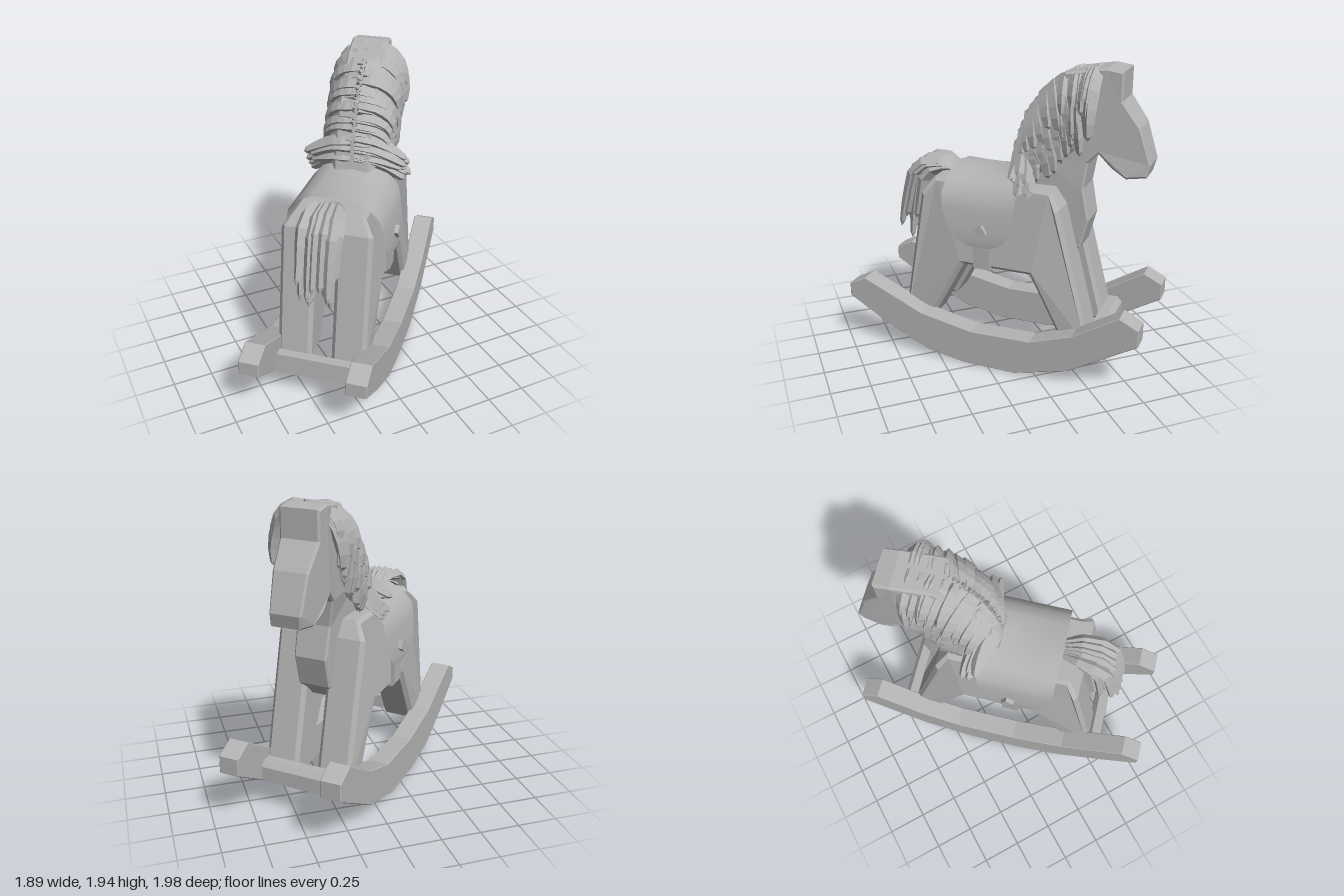
import * as THREE from 'three';

// Local frame: x runs from tail to head, z across the horse; the whole group is then turned.
export function createModel() {
  const model = new THREE.Group();
  const horse = new THREE.Group();
  horse.name = 'rockingHorse';
  horse.rotation.y = 0.838;
  model.add(horse);

  const grey = new THREE.MeshStandardMaterial({ color: 0xb4b4b4, side: THREE.DoubleSide });
  grey.name = 'plain grey';

  let seed = 7;
  const rand = (a, b) => {
    seed = (seed * 16807) % 2147483647;
    return a + (b - a) * (seed / 2147483647);
  };

  function add(geometry, name, parent = horse) {
    const mesh = new THREE.Mesh(geometry, grey);
    mesh.name = name;
    parent.add(mesh);
    return mesh;
  }

  // Flat board cut to a side profile, centred across z, optionally reshaped by a rule
  function board(points, width, bevel, rule) {
    const shape = new THREE.Shape(points.map(([x, y]) => new THREE.Vector2(x, y)));
    const g = new THREE.ExtrudeGeometry(shape, {
      depth: width - 2 * bevel, bevelEnabled: bevel > 0, bevelThickness: bevel,
      bevelSize: bevel, bevelOffset: -bevel, bevelSegments: 1
    });
    g.translate(0, 0, -(width - 2 * bevel) / 2);
    if (rule) {
      const p = g.attributes.position;
      for (let i = 0; i < p.count; i++) p.setZ(i, rule(p.getX(i), p.getY(i), p.getZ(i)));
    }
    g.computeVertexNormals();
    return g;
  }

  // Faceted lock of hair along a curve, with a blunt tapering tip
  const taper = [0.6, 1, 1.05, 1.05, 0.95, 0.8, 0.55, 0];
  function strand(points, radius, name, parent) {
    const curve = new THREE.CatmullRomCurve3(points.map(a => new THREE.Vector3(...a)));
    const n = taper.length - 1;
    const g = new THREE.TubeGeometry(curve, n, radius, 4);
    const p = g.attributes.position, v = new THREE.Vector3();
    for (let i = 0; i < p.count; i++) {
      const ring = Math.floor(i / 5);
      const c = curve.getPointAt(Math.min(ring, n - 0.6) / n);
      const centre = curve.getPointAt(ring / n);
      v.fromBufferAttribute(p, i).sub(centre).multiplyScalar(taper[ring]).add(c);
      p.setXYZ(i, v.x, v.y, v.z);
    }
    const flat = g.toNonIndexed();
    flat.computeVertexNormals();
    add(flat, name, parent);
  }

  // Rockers and the cross bars joining them
  const rockerProfile = [
    [-0.98, 0.34], [-0.72, 0.19], [-0.42, 0.05], [-0.15, 0.005], [0.2, 0.005], [0.55, 0.1], [0.98, 0.36],
    [0.98, 0.47], [0.86, 0.53], [0.57, 0.35], [0.3, 0.255], [-0.1, 0.245], [-0.45, 0.31], [-0.86, 0.49], [-0.98, 0.43]
  ];
  for (const side of [-1, 1]) {
    add(board(rockerProfile, 0.13, 0.005), 'rocker').position.z = 0.33 * side;
  }
  for (const [x, y] of [[-0.66, 0.235], [0.67, 0.265]]) {
    const bar = add(board([[-0.05, -0.065], [0.05, -0.065], [0.05, 0.03], [0.02, 0.065], [-0.04, 0.065]], 0.53, 0), 'crossBar');
    bar.position.set(x, y, 0);
  }

  // Flanks, each carrying a front and a back leg, with a rounded outer shoulder
  const flankProfile = [
    [-0.63, 0.24], [-0.42, 0.24], [-0.2, 0.65], [0.25, 0.65], [0.46, 0.24], [0.65, 0.24],
    [0.43, 1.1], [0.36, 1.2], [-0.41, 1.2], [-0.48, 1.1]
  ];
  for (const side of [-1, 1]) {
    const shoulder = (x, y, z) => (z * side > 0 && y > 1.12 ? z - 0.06 * side : z);
    add(board(flankProfile, 0.22, 0.025, shoulder), 'flankAndLegs').position.z = 0.175 * side;
  }

  // Middle of the body between the flanks
  add(board([[-0.42, 0.75], [-0.3, 0.67], [0.28, 0.67], [0.42, 0.75], [0.4, 1.2], [-0.4, 1.2]], 0.22, 0.02), 'torso');

  // Chest, neck and head; the head leans slightly to one side and narrows at the nose
  const headProfile = [
    [0.3, 0.66], [0.42, 0.71], [0.52, 0.81], [0.57, 1.0], [0.53, 1.2], [0.55, 1.36], [0.61, 1.42], [0.69, 1.34],
    [0.78, 1.285], [0.9, 1.3], [0.92, 1.38], [0.85, 1.6], [0.74, 1.75], [0.74, 1.92], [0.64, 1.935], [0.4, 1.9],
    [0.22, 1.7], [0.14, 1.4], [0.06, 1.2], [0.06, 0.75]
  ];
  add(board(headProfile, 0.24, 0.012, (x, y, z) => {
    const high = THREE.MathUtils.smoothstep(y, 1.1, 1.4);
    const nose = THREE.MathUtils.smoothstep(x, 0.75, 0.92);
    return z * (0.88 + 0.14 * high - 0.2 * nose) - 0.04 * high * THREE.MathUtils.smoothstep(x, 0.3, 0.7);
  }), 'neckAndHead');

  // Saddle blanket draped over the back: rows of [z, y, back x, front x]
  const half = [
    [0, 1.24, -0.33, 0.16], [0.14, 1.232, -0.33, 0.16], [0.22, 1.2, -0.33, 0.16], [0.29, 1.13, -0.33, 0.16],
    [0.31, 1.03, -0.32, 0.15], [0.325, 0.92, -0.28, 0.13], [0.33, 0.85, -0.22, 0.09], [0.325, 0.81, -0.14, 0.01]
  ];
  const rows = [...half.slice(1).reverse().map(([z, ...r]) => [-z, ...r]), ...half];
  const blanket = new THREE.PlaneGeometry(1, 1, 4, rows.length - 1);
  rows.forEach(([z, y, x0, x1], r) => {
    for (let c = 0; c < 5; c++) {
      const v = c / 2 - 1;
      const lift = (v > 0 ? 0.06 : 0.015) * v * v * Math.max(0, 1 - Math.abs(z) / 0.3);
      blanket.attributes.position.setXYZ(r * 5 + c, x0 + (x1 - x0) * c / 4, y + lift, z);
    }
  });
  blanket.computeVertexNormals();
  add(blanket, 'saddleBlanket');

  // Girth strap and buckles
  const girth = new THREE.Group();
  girth.name = 'girth';
  horse.add(girth);
  add(new THREE.BoxGeometry(0.11, 0.02, 0.58), 'bellyStrap', girth).position.set(-0.06, 0.655, 0);
  for (const side of [-1, 1]) {
    add(new THREE.BoxGeometry(0.11, 0.2, 0.025), 'sideStrap', girth).position.set(-0.06, 0.765, 0.295 * side);
    const buckle = add(new THREE.BoxGeometry(0.06, 0.06, 0.03), 'buckle', girth);
    buckle.position.set(-0.05, 0.92, 0.335 * side);
    buckle.rotation.z = 0.6;
  }

  // Mane: a solid core with layered locks draped over both sides
  const mane = new THREE.Group();
  mane.name = 'mane';
  horse.add(mane);
  const maneCore = [
    [0.05, 1.24], [0.1, 1.45], [0.18, 1.65], [0.32, 1.82], [0.45, 1.89], [0.56, 1.9],
    [0.56, 1.6], [0.47, 1.44], [0.34, 1.32], [0.2, 1.22]
  ];
  add(board(maneCore, 0.35, 0.07), 'maneCore', mane);
  const path = points => new THREE.CatmullRomCurve3(points.map(([x, y]) => new THREE.Vector3(x, y, 0)));
  const crest = path([[0.08, 1.32], [0.11, 1.5], [0.2, 1.7], [0.36, 1.86], [0.57, 1.91]]);
  const tips = path([[0.21, 1.15], [0.28, 1.18], [0.4, 1.25], [0.5, 1.36], [0.58, 1.49]]);
  const perLayer = 13;
  for (const side of [-1, 1]) {
    for (let i = 0; i < perLayer * 3; i++) {
      const t = THREE.MathUtils.clamp((i % perLayer) / (perLayer - 1) + rand(-0.03, 0.03), 0, 1);
      const a = crest.getPoint(t), b = tips.getPoint(t);
      const drop = [1, 0.8, 0.55][Math.floor(i / perLayer)] * rand(0.82, 1.06);
      const flare = t < 0.2 ? rand(0.12, 0.18) : rand(-0.03, 0.015);
      const sway = rand(-0.035, 0.035);
      const at = (kx, ky, z) => [
        a.x + (b.x - a.x) * kx * drop + sway * ky, a.y + (b.y - a.y) * ky * drop, z * side
      ];
      strand([
        at(0, 0, 0.01), at(0.3, 0.07, 0.1), at(0.65, 0.32, 0.18),
        at(0.9, 0.68, 0.215 + flare * 0.4), at(1, 1, 0.205 + flare)
      ], rand(0.032, 0.048), 'maneLock', mane);
    }
  }

  // Tail: locks arching from the rump and falling behind
  const tail = new THREE.Group();
  tail.name = 'tail';
  horse.add(tail);
  for (let i = 0; i < 20; i++) {
    const z = ((i % 5) / 4 - 0.5) * 0.17 + rand(-0.015, 0.015);
    const out = Math.floor(i / 5) * 0.034;
    const low = rand(0.6, 0.8);
    strand([
      [-0.34, 1.21, z * 0.5], [-0.44, 1.215 + out * 0.3, z * 0.8], [-0.54 - out * 0.6, 1.16 + out * 0.5, z],
      [-0.59 - out, 0.97, z], [-0.63 - out * 1.2, low, z * 1.1]
    ], rand(0.034, 0.043), 'tailLock', tail);
  }

  return model;
}
